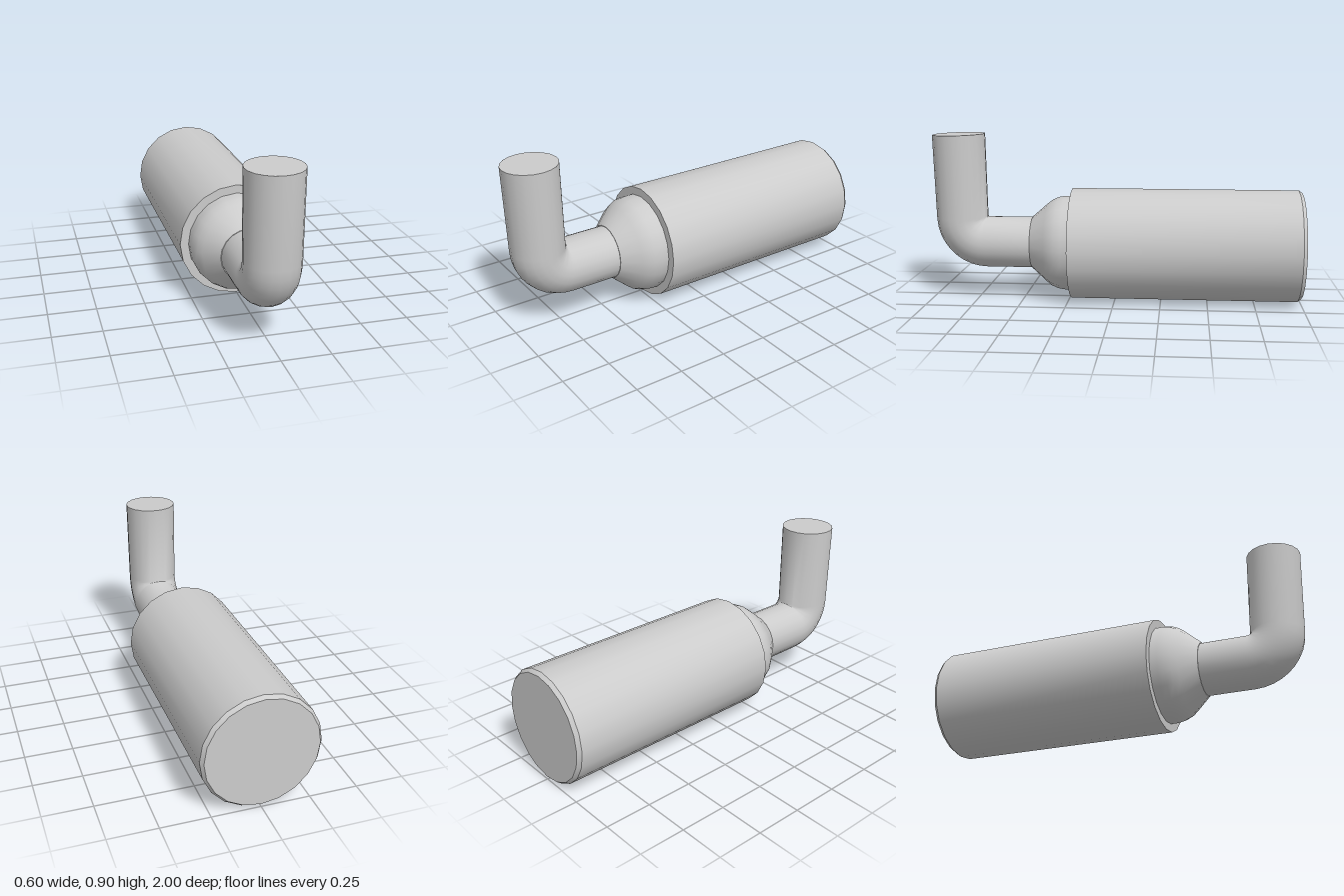
import * as THREE from 'three';
import { toCreasedNormals } from 'three/addons/utils/BufferGeometryUtils.js';

const SIDES = 20;
const AXIS_Y = 0.305; // height of the horizontal axis

const material = new THREE.MeshStandardMaterial({ color: 0xcccccc });

function addMesh(group, name, geometry) {
  const mesh = new THREE.Mesh(toCreasedNormals(geometry, 0.6), material);
  mesh.name = name;
  group.add(mesh);
}

// Turned part along z; profile is [radius, z] from back to front
function turned(profile) {
  const points = profile.map(([r, z]) => new THREE.Vector2(r, z));
  return new THREE.LatheGeometry(points, SIDES)
    .rotateX(Math.PI / 2)
    .translate(0, AXIS_Y, 0);
}

// Capped pipe in the yz plane; station is { z, y, angle, r }, angle 0 runs to +z, 90 degrees runs up
function sweptPipe(stations) {
  const positions = [];
  const index = [];
  for (const { z, y, angle, r } of stations) {
    for (let i = 0; i < SIDES; i++) {
      const a = (i / SIDES) * Math.PI * 2;
      const up = r * Math.cos(a);
      positions.push(r * Math.sin(a), y + up * Math.cos(angle), z - up * Math.sin(angle));
    }
  }
  for (let s = 0; s < stations.length - 1; s++) {
    for (let i = 0; i < SIDES; i++) {
      const a = s * SIDES + i;
      const b = s * SIDES + ((i + 1) % SIDES);
      index.push(a, a + SIDES, b, b, a + SIDES, b + SIDES);
    }
  }
  // End caps
  const last = (stations.length - 1) * SIDES;
  for (let i = 1; i < SIDES - 1; i++) {
    index.push(0, i, i + 1);
    index.push(last, last + i + 1, last + i);
  }
  const geometry = new THREE.BufferGeometry();
  geometry.setAttribute('position', new THREE.Float32BufferAttribute(positions, 3));
  geometry.setIndex(index);
  return geometry;
}

export function createModel() {
  const model = new THREE.Group();
  model.name = 'elbowPipeFitting';

  // Large cylinder with a small bevel at the back
  addMesh(model, 'body', turned([
    [0, -1], [0.287, -1], [0.302, -0.98], [0.302, 0.235], [0, 0.235],
  ]));

  // Rounded shoulder tapering to the pipe
  addMesh(model, 'shoulder', turned([
    [0, 0.2], [0.258, 0.2], [0.258, 0.275], [0.252, 0.31], [0.238, 0.342],
    [0.217, 0.37], [0.143, 0.455], [0, 0.455],
  ]));

  // Pipe: straight run, tight elbow, slightly leaning riser
  const bend = 0.142;
  const lean = 0.025;
  const stations = [{ z: 0.42, y: AXIS_Y, angle: 0, r: 0.14 }];
  const steps = 9;
  for (let i = 0; i <= steps; i++) {
    const angle = (i / steps) * (Math.PI / 2 - lean);
    stations.push({
      z: 0.704 + bend * Math.sin(angle),
      y: AXIS_Y + bend * (1 - Math.cos(angle)),
      angle,
      r: 0.14,
    });
  }
  stations.push({ z: 0.857, y: 0.897, angle: Math.PI / 2 - lean, r: 0.143 });
  addMesh(model, 'elbowPipe', sweptPipe(stations));

  return model;
}
